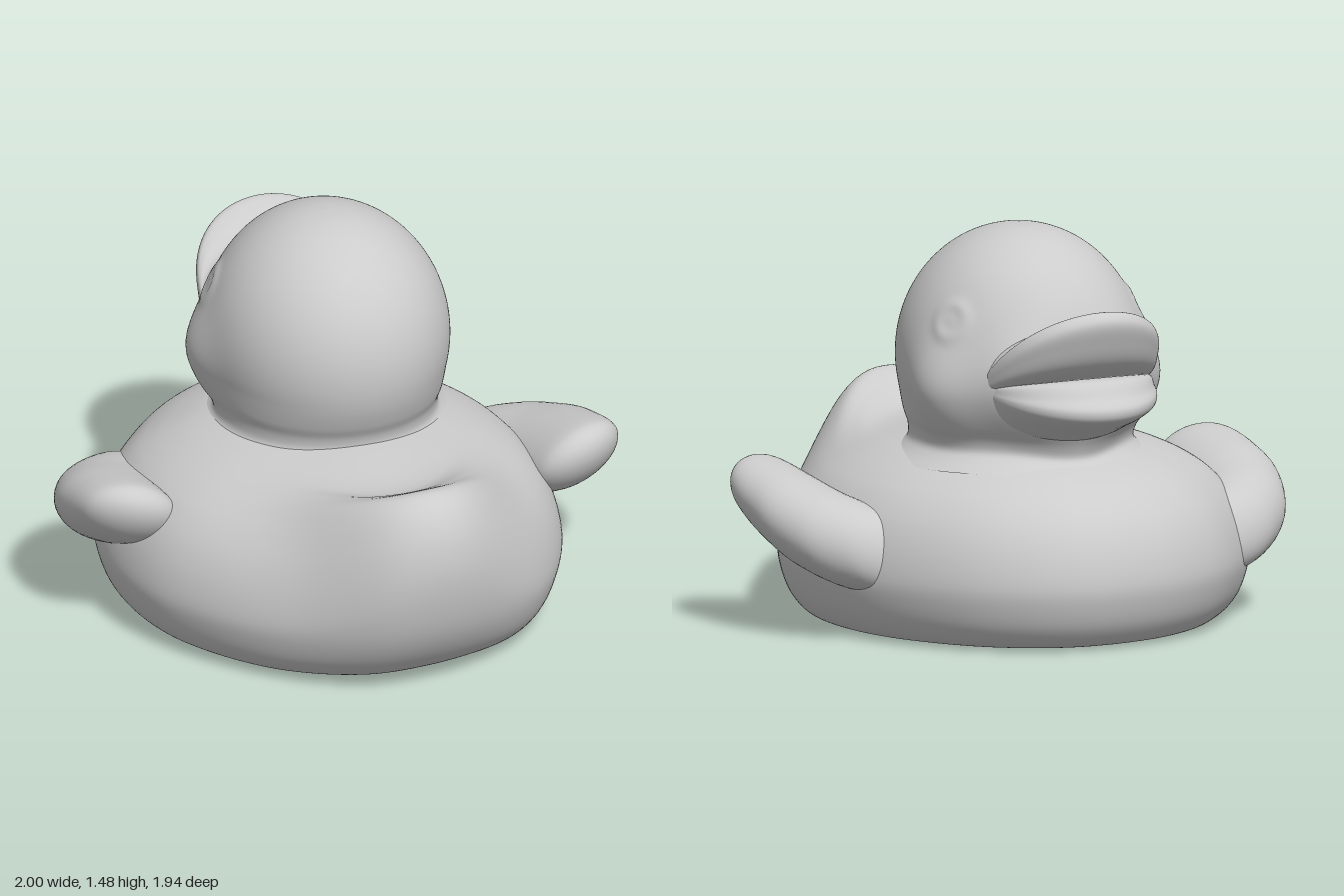
import * as THREE from 'three';
import { mergeVertices } from 'three/addons/utils/BufferGeometryUtils.js';

const V = (x, y, z) => new THREE.Vector3(x, y, z);
const curve = (pts, closed = false) =>
  new THREE.CatmullRomCurve3(pts.map(p => V(p[0], p[1], p[2] || 0)), closed, 'centripetal');
const bump = (d, s) => Math.exp(-(d * d) / (s * s));

// Smooth skin over a list of closed rings; triangles are turned so they face outward.
function loft(name, rings, material) {
  const n = rings[0].length, pts = rings.flat(), index = [];
  for (let i = 0; i < rings.length - 1; i++) {
    for (let j = 0; j < n; j++) {
      const k = (j + 1) % n, a = i * n + j, b = i * n + k, c = a + n, d = b + n;
      index.push(a, b, c, b, d, c);
    }
  }
  const centre = pts.reduce((s, p) => s.add(p), V(0, 0, 0)).divideScalar(pts.length);
  const q = pts.map(p => p.clone().sub(centre));
  let volume = 0;
  for (let i = 0; i < index.length; i += 3) {
    volume += q[index[i]].dot(V(0, 0, 0).crossVectors(q[index[i + 1]], q[index[i + 2]]));
  }
  if (volume < 0) index.reverse();
  let g = new THREE.BufferGeometry().setFromPoints(pts);
  g.setIndex(index);
  g = mergeVertices(g, 1e-5);
  g.computeVertexNormals();
  const mesh = new THREE.Mesh(g, material);
  mesh.name = name;
  return mesh;
}

// Body: an egg-shaped plan whose rim profile changes into an upturned tail.
function makeBody(material) {
  const plan = curve([
    [0.03, 0, -0.97], [0.38, 0, -0.9], [0.64, 0, -0.66], [0.79, 0, -0.25], [0.78, 0, 0.12],
    [0.65, 0, 0.46], [0.35, 0, 0.78], [0.06, 0, 0.93], [-0.18, 0, 0.97], [-0.4, 0, 0.89],
    [-0.64, 0, 0.57], [-0.8, 0, 0.22], [-0.855, 0, -0.05], [-0.82, 0, -0.35], [-0.7, 0, -0.6],
    [-0.51, 0, -0.77], [-0.27, 0, -0.91]], true).getSpacedPoints(144).slice(0, 144);
  const side = curve([[0, 0.012], [0.8, 0.012], [0.88, 0.025], [0.95, 0.09], [0.99, 0.18], [1, 0.25],
    [0.975, 0.36], [0.92, 0.46], [0.84, 0.54], [0.76, 0.59], [0.67, 0.63], [0.56, 0.665],
    [0.3, 0.71], [0, 0.73]]);
  const tail = curve([[0, 0.012], [0.72, 0.032], [0.8, 0.055], [0.88, 0.13], [0.95, 0.25], [0.99, 0.4],
    [1, 0.55], [0.975, 0.68], [0.925, 0.765], [0.86, 0.8], [0.755, 0.75], [0.63, 0.685],
    [0.3, 0.715], [0, 0.73]]);
  const rings = [], steps = 91, cz = -0.1, tailAngle = Math.atan2(-0.22, 1.07);
  for (let i = 0; i <= steps; i++) {
    const a = side.getPoint(i / steps), b = tail.getPoint(i / steps);
    rings.push(plan.map(p => {
      const w = bump(Math.atan2(p.x, p.z - cz) - tailAngle, 0.38 + 0.35 * (1 - a.x));
      const s = a.x + (b.x - a.x) * w;
      return V(p.x * s, a.y + (b.y - a.y) * w, cz + (p.z - cz) * s);
    }));
  }
  return loft('body', rings, material);
}

// Wing: tilted oval sections from the shoulder to the raised tip, rounded off at both ends.
function makeWing(name, place, material) {
  const mid = curve([[0.66, 0.32, -0.28], [0.71, 0.335, -0.18], [0.77, 0.365, -0.04],
    [0.795, 0.41, 0.12], [0.785, 0.46, 0.28], [0.77, 0.5, 0.4], [0.76, 0.52, 0.49]]);
  const size = curve([[0.15, 0.14], [0.18, 0.155], [0.2, 0.17], [0.205, 0.17],
    [0.195, 0.155], [0.18, 0.135], [0.15, 0.11]]);
  const rings = [];
  for (let i = 0; i <= 48; i++) {
    const t = (1 - Math.cos(Math.PI * i / 48)) / 2;
    const k = Math.sqrt(1 - Math.pow(2 * t - 1, 6));
    const c = mid.getPoint(t), r = size.getPoint(t), ring = [];
    for (let j = 0; j < 48; j++) {
      const a = j / 48 * Math.PI * 2;
      const dx = Math.cos(a) * r.x * k, dy = Math.sin(a) * r.y * k;
      ring.push(place(V(c.x + dx, c.y + dy + dx * 0.15, c.z + dy * 0.2)));
    }
    rings.push(ring);
  }
  return loft(name, rings, material);
}

// Head: a turned ball flaring into the neck, with muzzle, chin, cheeks and eyes raised from it.
function makeHead(material) {
  const pts = [];
  for (let i = 0; i <= 12; i++) {
    const a = i / 12 * 2.0;
    pts.push([0.485 * Math.sin(a), 1 + 0.485 * Math.cos(a)]);
  }
  pts.push([0.415, 0.745], [0.412, 0.7], [0.44, 0.67], [0.5, 0.63]);
  const profile = curve(pts).getSpacedPoints(100);
  const rings = profile.map(p => {
    const ring = [], sx = 0.92 + 0.07 * THREE.MathUtils.smoothstep(-p.y, -0.9, -0.7);
    for (let j = 0; j < 144; j++) {
      const a = j / 144 * Math.PI * 2;
      const v = V(p.x * Math.cos(a) * sx, p.y, p.x * Math.sin(a));
      const out = V(v.x, v.y - 1, v.z).normalize();
      const m = V(Math.abs(v.x), v.y, v.z);
      const cheek = 0.07 * bump(m.distanceTo(V(0.43, 0.91, -0.17)), 0.16);
      const muzzle = 0.06 * bump(m.distanceTo(V(0.2, 0.94, -0.4)), 0.17);
      const chin = 0.05 * bump(m.distanceTo(V(0, 0.76, -0.42)), 0.16);
      const d = m.distanceTo(V(0.37, 1.17, -0.18));
      const eye = 0.008 * bump(d - 0.06, 0.025) + 0.006 * bump(d, 0.03);
      ring.push(v.addScaledVector(out, cheek + muzzle + chin + eye));
    }
    return ring;
  });
  return loft('head', rings, material);
}

// Bill half: one side-view outline (forward, height), shrinking toward both mouth corners.
function makeBill(name, outline, width, power, material) {
  const corner = V(0.31, 0.935, 0);
  const loop = curve(outline, true).getPoints(64).slice(0, 64);
  const rings = [];
  for (let i = 0; i <= 48; i++) {
    const a = (i / 48 - 0.5) * Math.PI;
    const k = Math.pow(Math.max(0, Math.cos(a)), power);
    rings.push(loop.map(p => V(width * Math.sin(a),
      corner.y + (p.y - corner.y) * k, -(corner.x + (p.x - corner.x) * k))));
  }
  return loft(name, rings, material);
}

export function createModel() {
  const material = new THREE.MeshStandardMaterial({ color: 0xcccccc, roughness: 0.7 });
  const model = new THREE.Group();
  model.name = 'bathDuck';
  model.add(makeBody(material));

  // The second wing mirrors the first across the slanted body axis.
  const across = V(0.98, 0, 0.21).normalize();
  model.add(makeWing('leftWing', p => p, material));
  model.add(makeWing('rightWing',
    p => p.addScaledVector(across, -2 * p.dot(across)).add(V(0.02, 0, -0.2)), material));

  const headGroup = new THREE.Group();
  headGroup.name = 'headGroup';
  headGroup.position.set(0.04, 0, -0.17);
  headGroup.rotation.y = -0.22;
  headGroup.add(makeHead(material));
  headGroup.add(makeBill('upperBill', [[0.2, 1.14], [0.42, 1.17], [0.51, 1.175], [0.59, 1.225],
    [0.65, 1.245], [0.68, 1.21], [0.66, 1.13], [0.62, 1.05], [0.54, 0.985], [0.4, 0.93], [0.2, 0.92]],
  0.34, 0.75, material));
  headGroup.add(makeBill('lowerBill', [[0.2, 0.96], [0.45, 0.955], [0.57, 0.99], [0.64, 0.985],
    [0.685, 0.93], [0.72, 0.89], [0.715, 0.855], [0.67, 0.825], [0.56, 0.78], [0.45, 0.74], [0.2, 0.74]],
  0.33, 0.9, material));
  model.add(headGroup);
  return model;
}
